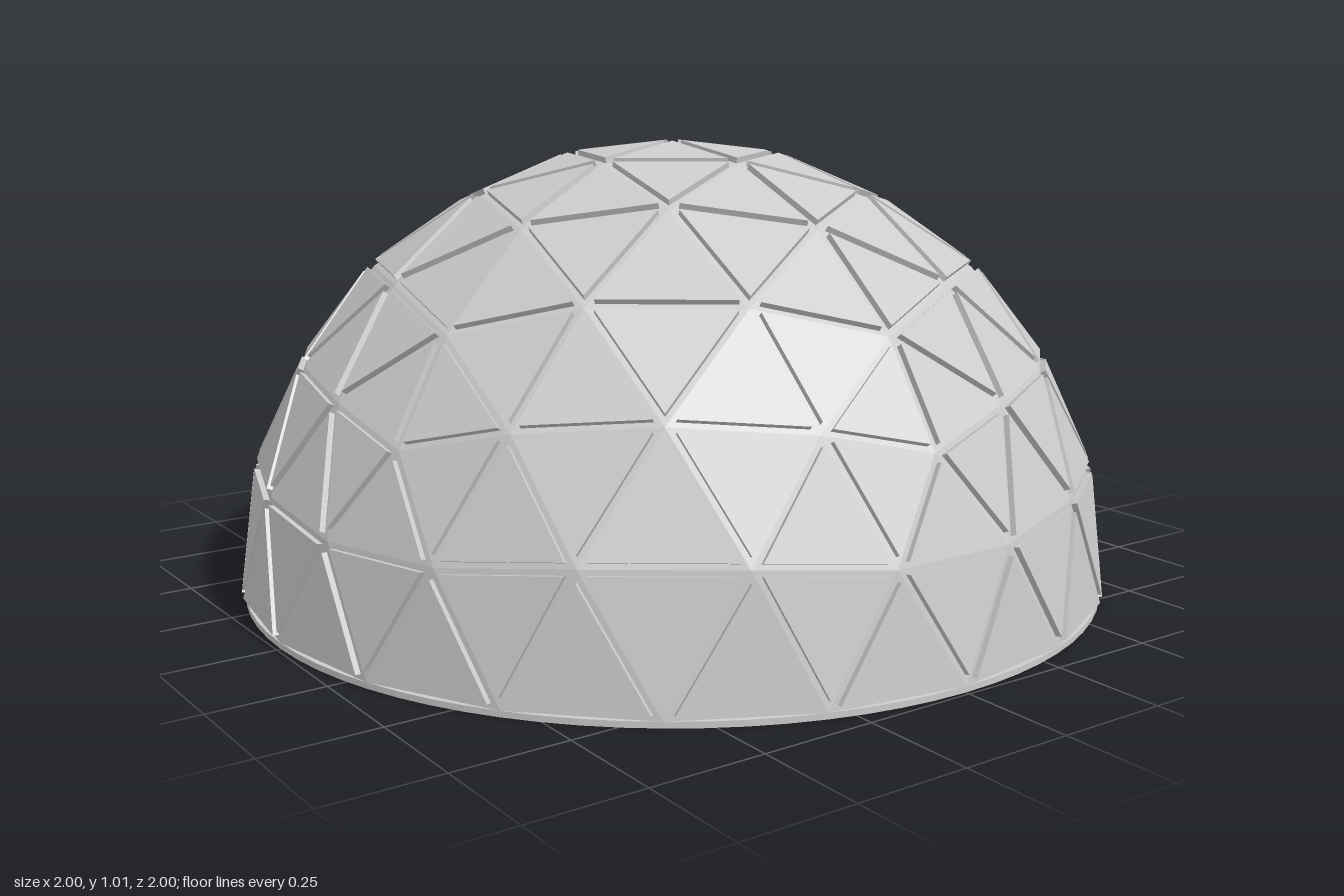
import * as THREE from 'three';

const RADIUS = 0.991;   // inner shell
const RAISE = 0.013;    // panel thickness
const INSET = 0.0115;   // half the groove width
const BASE = 0.013;     // floor height

// Triangles of the upper half of a frequency-4 geodesic sphere, one vertex at the pole
function domeTriangles() {
  const sphere = new THREE.IcosahedronGeometry(RADIUS, 3);
  sphere.rotateZ(-Math.atan(2 / (1 + Math.sqrt(5))));
  const pos = sphere.attributes.position;
  const triangles = [];
  for (let i = 0; i < pos.count; i += 3) {
    const tri = [0, 1, 2].map((k) => new THREE.Vector3().fromBufferAttribute(pos, i + k));
    if (tri[0].y + tri[1].y + tri[2].y > 0.01) triangles.push(tri);
  }
  return triangles;
}

// Corners moved inward so every edge retreats by the same distance
function insetTriangle([a, b, c], distance) {
  const la = b.distanceTo(c), lb = c.distanceTo(a), lc = a.distanceTo(b);
  const perimeter = la + lb + lc;
  const incenter = new THREE.Vector3()
    .addScaledVector(a, la / perimeter)
    .addScaledVector(b, lb / perimeter)
    .addScaledVector(c, lc / perimeter);
  const area = new THREE.Triangle(a, b, c).getArea();
  const f = distance / (2 * area / perimeter);
  return [a, b, c].map((p) => p.clone().lerp(incenter, f));
}

function facesToGeometry(points) {
  const geometry = new THREE.BufferGeometry().setFromPoints(points);
  geometry.computeVertexNormals();
  return geometry;
}

export function createModel() {
  const group = new THREE.Group();
  group.name = 'geodesicDome';
  const material = new THREE.MeshStandardMaterial({ color: 0xcccccc, flatShading: true });
  const add = (name, geometry, y) => {
    const mesh = new THREE.Mesh(geometry, material);
    mesh.name = name;
    mesh.position.y = y;
    group.add(mesh);
  };

  const triangles = domeTriangles();

  // Shell showing as the bottom of the grooves
  add('shell', facesToGeometry(triangles.flat()), BASE);

  // Raised triangular panels with side walls
  const panelPoints = [];
  for (const tri of triangles) {
    const low = insetTriangle(tri, INSET);
    const normal = new THREE.Triangle(...tri).getNormal(new THREE.Vector3());
    const high = low.map((p) => p.clone().addScaledVector(normal, RAISE));
    panelPoints.push(...high);
    for (let i = 0; i < 3; i++) {
      const j = (i + 1) % 3;
      panelPoints.push(low[i], low[j], high[j], low[i], high[j], high[i]);
    }
  }
  add('panels', facesToGeometry(panelPoints), BASE);

  // Thin round floor closing the dome
  add('floor', new THREE.CylinderGeometry(RADIUS, RADIUS, BASE, 80), BASE / 2);

  return group;
}
